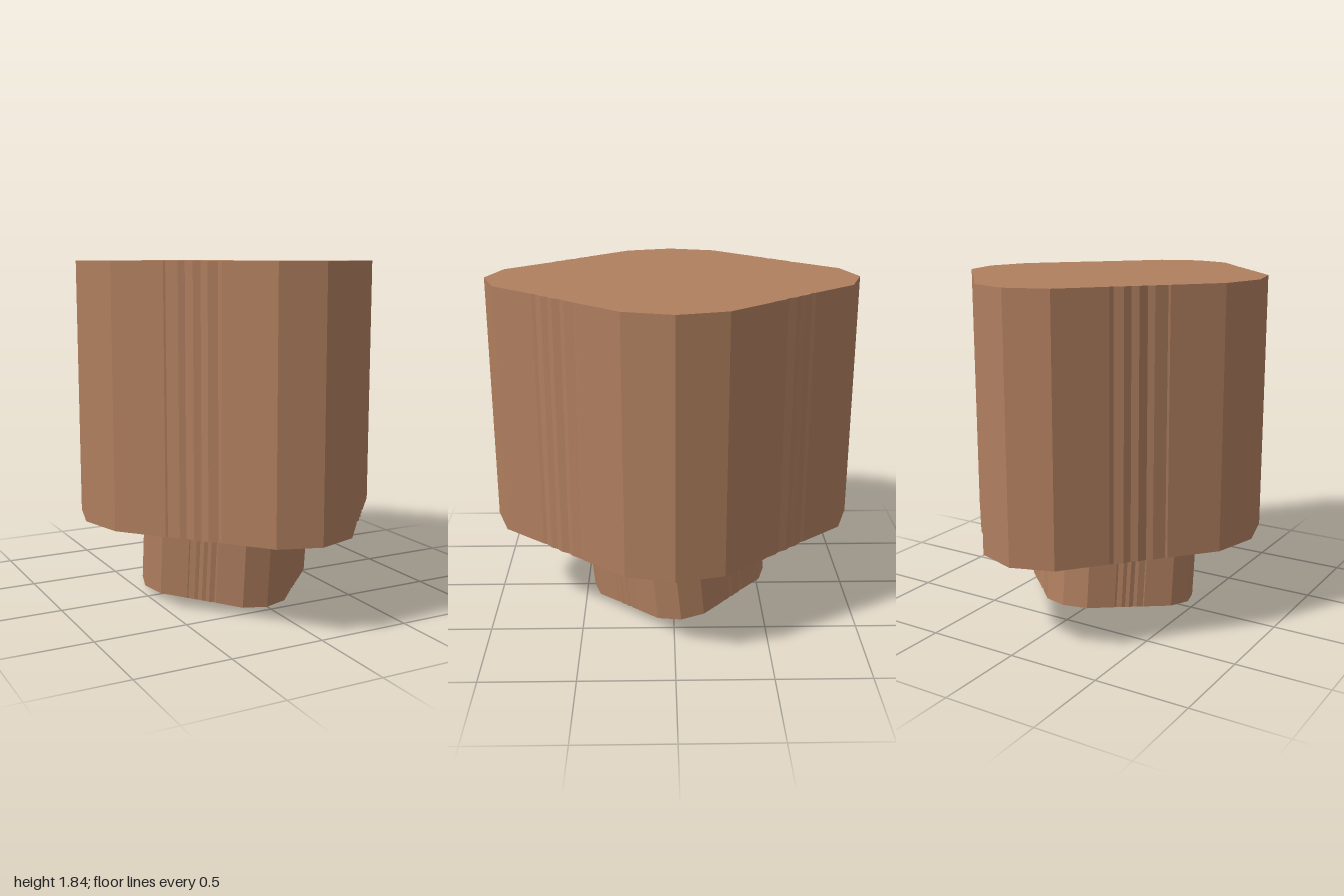
import * as THREE from 'three';

// One quarter of the faceted outline, from the front corner to the side corner (x, z)
const QUARTER = [
  [0, 1], [0.22, 0.925], [0.4, 0.705], [0.41, 0.685], [0.45, 0.655], [0.47, 0.62], [0.5, 0.597],
  [0.522, 0.555], [0.55, 0.535], [0.59, 0.48], [0.6, 0.475], [0.785, 0.255], [0.85, 0],
];

// Mirror the quarter into a closed outline
function outline(sx, sz) {
  const back = QUARTER.slice().reverse();
  const points = [
    ...QUARTER.slice(0, -1),
    ...back.slice(0, -1).map(([x, z]) => [x, -z]),
    ...QUARTER.slice(0, -1).map(([x, z]) => [-x, -z]),
    ...back.slice(0, -1).map(([x, z]) => [-x, z]),
  ];
  return new THREE.Shape(points.map(([x, z]) => new THREE.Vector2(x * sx, z * sz)));
}

// Upright faceted prism, centred on its own origin
function prism(name, sx, sz, height, material) {
  const geometry = new THREE.ExtrudeGeometry(outline(sx, sz), { depth: height, bevelEnabled: false });
  geometry.translate(0, 0, -height / 2).rotateX(-Math.PI / 2);
  const mesh = new THREE.Mesh(geometry, material);
  mesh.name = name;
  return mesh;
}

export function createModel() {
  const model = new THREE.Group();
  model.name = 'facetedBlock';
  const brown = new THREE.MeshStandardMaterial({ color: 0xb07f5f });
  brown.name = 'warm brown';

  // Large upper block
  const upper = prism('upperBlock', 1, 1, 1.37, brown);
  upper.position.y = 1.157;

  // Smaller neck, tilted up at the back and sunk into the block
  const neck = prism('neck', 0.5 / 0.85, 0.5, 0.417, brown);
  neck.position.set(0, 0.258, -0.018);
  neck.rotation.x = 0.1;

  model.add(upper, neck);
  return model;
}
